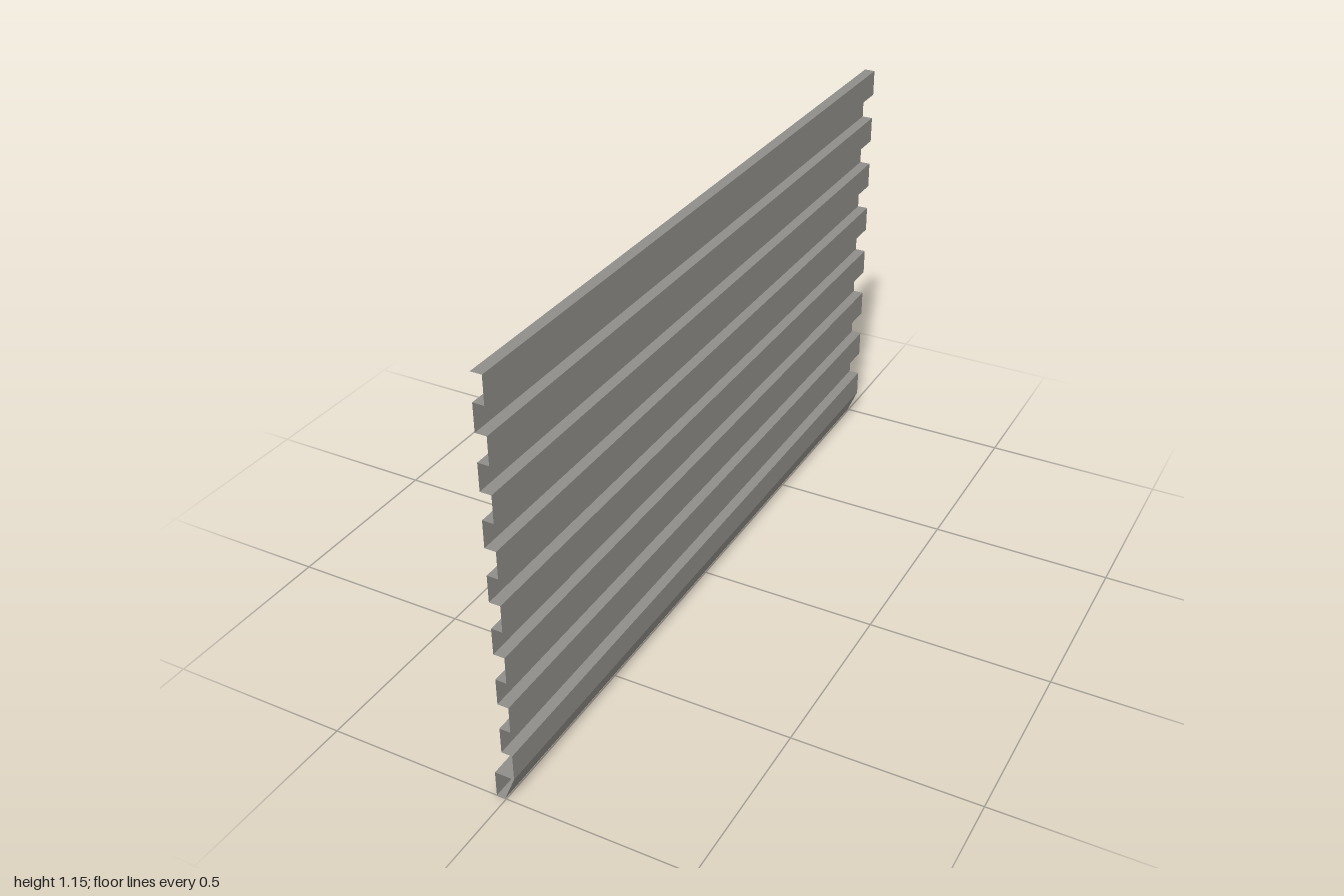
import * as THREE from 'three';

const OUT = 0.0265, MID = -0.003, BACK = -0.0265; // depth of rib face, groove and foot
const COUNT = 8, TOP = 1.155;
const STEP = TOP / COUNT, HALF = STEP / 2;

// Sheet swept along z from an open [x, y] profile, with flat faces
function sweep(profile) {
  const pos = [];
  for (let i = 0; i < profile.length - 1; i++) {
    const [ax, ay] = profile[i], [bx, by] = profile[i + 1];
    pos.push(ax, ay, 1, bx, by, 1, bx, by, -1);
    pos.push(ax, ay, 1, bx, by, -1, ax, ay, -1);
  }
  const geo = new THREE.BufferGeometry();
  geo.setAttribute('position', new THREE.Float32BufferAttribute(pos, 3));
  geo.computeVertexNormals();
  return geo;
}

// Flat end plate closing the rear end, facing -z
function endPlate(outline) {
  const shape = new THREE.Shape(outline.map(([x, y]) => new THREE.Vector2(-x, y)));
  return new THREE.ShapeGeometry(shape).rotateY(Math.PI).translate(0, 0, -1);
}

export function createModel() {
  const group = new THREE.Group();
  const metal = new THREE.MeshStandardMaterial({ color: 0x8f8d89, side: THREE.DoubleSide });
  const add = (name, geo) => {
    const mesh = new THREE.Mesh(geo, metal);
    mesh.name = name;
    group.add(mesh);
  };

  for (let i = 0; i < COUNT; i++) {
    const top = TOP - i * STEP, low = top - HALF;
    // Rib: top ledge and outer face, open behind
    add('rib', sweep([[MID, top], [OUT, top], [OUT, low]]));
    add('ribEnd', endPlate([[MID, low], [OUT, low], [OUT, top], [MID, top]]));
    // Groove between this rib and the next one
    if (i < COUNT - 1) add('groove', sweep([[OUT, low], [MID, low], [MID, low - HALF]]));
  }

  // Foot: sloped drip edge, underside, back face and top ledge
  const foot = [[OUT, HALF], [MID, 0], [BACK, 0], [BACK, HALF], [OUT, HALF]];
  add('foot', sweep(foot));
  add('footEnd', endPlate(foot.slice(0, 4)));

  return group;
}
